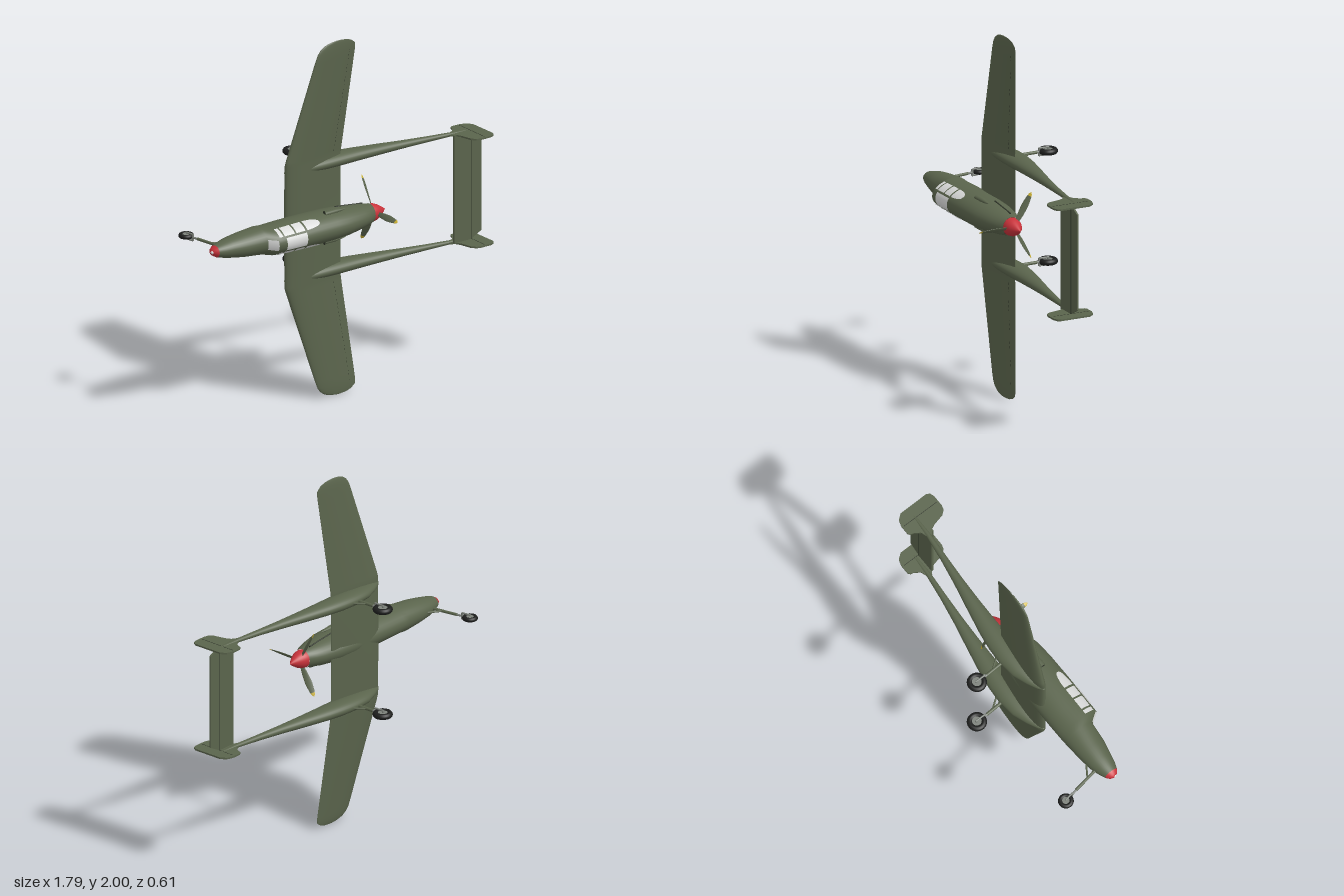
import * as THREE from 'three';

const mat = (name, color) => Object.assign(new THREE.MeshStandardMaterial({ color }), { name });
const M = {
  green: mat('oliveGreen', 0x5a644c), dark: mat('panelLine', 0x30362a), red: mat('red', 0xc8323a),
  glass: mat('paleGlass', 0xd9dad9), rubber: mat('rubber', 0x1d1e1d), steel: mat('steel', 0x7d827b),
  yellow: mat('yellow', 0xc9b032),
};
const V = (x, y, z) => new THREE.Vector3(x, y, z);

// Surface through fn(u, v); 'closed' wraps v smoothly
function surface(fn, us, vs, closed = false) {
  const pos = [], idx = [], n = vs.length;
  us.forEach(u => vs.forEach(v => pos.push(...fn(u, v))));
  for (let i = 0; i < us.length - 1; i++)
    for (let j = 0; j < (closed ? n : n - 1); j++) {
      const k = (j + 1) % n, a = i * n + j, b = a + n, c = (i + 1) * n + k, d = i * n + k;
      idx.push(a, b, d, b, c, d);
    }
  const g = new THREE.BufferGeometry();
  g.setAttribute('position', new THREE.Float32BufferAttribute(pos, 3));
  g.setIndex(idx);
  g.computeVertexNormals();
  return g;
}
const range = (a, b, n) => Array.from({ length: n + 1 }, (_, i) => a + (b - a) * i / n);
const ring = n => range(0, Math.PI * 2, n).slice(0, n);

// Linear look-up in rows sorted by their first number
function sample(rows, x) {
  let i = 0;
  while (i < rows.length - 2 && x > rows[i + 1][0]) i++;
  const a = rows[i], b = rows[i + 1];
  const t = THREE.MathUtils.clamp((x - a[0]) / (b[0] - a[0]), 0, 1);
  return a.map((v, k) => v + (b[k] - v) * t);
}
// Elliptical body along x: rows of [x, half width, z low, z high]
const body = (rows, cy, off = 0) => (x, a) => {
  const [, ry, z0, z1] = sample(rows, x);
  return [x, cy + (ry + off) * Math.sin(a), (z0 + z1) / 2 + ((z1 - z0) / 2 + off) * Math.cos(a)];
};
const bodyGeo = (rows, cy) => surface(body(rows, cy), rows.map(r => r[0]), ring(32), true);

const FUSELAGE = [
  [-0.895, 0.002, 0.053, 0.057], [-0.885, 0.02, 0.03, 0.08], [-0.865, 0.032, 0.015, 0.095],
  [-0.83, 0.042, 0, 0.108], [-0.78, 0.053, -0.015, 0.12], [-0.7, 0.065, -0.025, 0.138],
  [-0.585, 0.076, -0.032, 0.15], [-0.545, 0.078, -0.034, 0.208], [-0.45, 0.081, -0.035, 0.21],
  [-0.3, 0.084, -0.034, 0.211], [-0.15, 0.082, -0.03, 0.21], [-0.05, 0.077, -0.02, 0.203],
  [0.05, 0.066, 0, 0.18], [0.1, 0.058, 0.02, 0.163], [0.14, 0.052, 0.038, 0.142]];
const SPINNER = [[0.138, 0.05, 0.04, 0.14], [0.165, 0.047, 0.043, 0.137], [0.19, 0.036, 0.054, 0.126],
  [0.22, 0.017, 0.073, 0.107], [0.24, 0.001, 0.089, 0.091]];
const BOOM = [[-0.362, 0.002, -0.005, 0.003], [-0.34, 0.014, -0.025, 0.014], [-0.28, 0.026, -0.055, 0.024],
  [-0.2, 0.034, -0.085, 0.032], [-0.1, 0.038, -0.096, 0.037], [0, 0.038, -0.09, 0.038],
  [0.1, 0.035, -0.075, 0.037], [0.25, 0.029, -0.043, 0.039], [0.4, 0.022, -0.01, 0.045],
  [0.55, 0.016, 0.018, 0.055], [0.7, 0.011, 0.04, 0.067], [0.8, 0.007, 0.048, 0.068], [0.885, 0.001, 0.056, 0.06]];
// Half span, leading edge, trailing edge, z, half thickness
const WING = [[0, -0.36, 0.012, 0, 0.034], [0.34, -0.36, 0.012, 0.002, 0.032], [0.37, -0.352, 0.015, 0.003, 0.031],
  [0.9, -0.183, 0.078, 0.035, 0.014], [0.94, -0.168, 0.083, 0.037, 0.012], [0.965, -0.15, 0.08, 0.038, 0.01],
  [0.985, -0.12, 0.055, 0.039, 0.007], [0.996, -0.08, 0.02, 0.04, 0.004], [1, -0.04, -0.02, 0.04, 0.001]];
const wing = off => (s, t) => {
  const [, le, te, z, th] = sample(WING, Math.abs(s)), c = Math.cos(t);
  return [(le + te) / 2 + (te - le) / 2 * c, 1 + s, z + off + th * Math.sin(t) * (1 - 0.65 * c) / 1.2];
};

export function createModel() {
  const root = new THREE.Group();
  const add = (name, geo, m, parent = root) => {
    const mesh = new THREE.Mesh(geo, m);
    mesh.name = name;
    parent.add(mesh);
    return mesh;
  };
  const rod = (name, a, b, r, m, parent = root) => {
    const d = b.clone().sub(a);
    const mesh = add(name, new THREE.CylinderGeometry(r, r, d.length(), 12), m, parent);
    mesh.position.copy(a).addScaledVector(d, 0.5);
    mesh.quaternion.setFromUnitVectors(V(0, 1, 0), d.normalize());
  };
  const plate = (pts, depth) => new THREE.ExtrudeGeometry(
    new THREE.Shape(pts.map(p => new THREE.Vector2(...p))), { depth, bevelEnabled: false });

  // Central pod with red nose cap and pusher spinner
  add('noseCap', bodyGeo(FUSELAGE.slice(0, 3), 1), M.red);
  add('noseLamp', new THREE.SphereGeometry(0.009, 12, 8).translate(-0.889, 1, 0.062), M.glass);
  add('fuselage', bodyGeo(FUSELAGE.slice(2), 1), M.green);
  add('spinner', bodyGeo(SPINNER, 1), M.red);

  // Canopy panes laid on the pod; 'taper' rounds off the rear pane
  const pane = (name, x0, x1, a0, a1, taper = 0) => {
    const skin = body(FUSELAGE, 1, 0.003), mid = (a0 + a1) / 2;
    const fn = (x, f) => {
      const u = (x - x0) / (x1 - x0);
      const h = (a1 - a0) / 2 * (1 - taper * (1 - Math.sqrt(1 - u * u * 0.99)));
      return skin(x, THREE.MathUtils.degToRad(mid + h * f));
    };
    add(name, surface(fn, range(x0, x1, 8), range(-1, 1, 8)), M.glass);
  };
  pane('windshield', -0.584, -0.549, -21, 21);
  pane('roofPane', -0.5, -0.365, -25, 25);
  for (const s of [-1, 1]) {
    const side = (x0, x1, t) => pane('sidePane', x0, x1, s > 0 ? 32 : -66, s > 0 ? 66 : -32, t);
    side(-0.538, -0.515);
    side(-0.505, -0.438);
    side(-0.428, -0.368);
    side(-0.356, -0.26, 0.8);
    // Side scoops and exhaust slits
    add('sideScoop', bodyGeo([[-0.19, 0.012, 0.108, 0.142], [-0.12, 0.013, 0.11, 0.14],
      [-0.05, 0.002, 0.12, 0.13]], 1 + s * 0.079), M.green);
    add('scoopMouth', new THREE.CircleGeometry(0.012, 16).scale(1, 1.4, 1).rotateY(-Math.PI / 2)
      .translate(-0.191, 1 + s * 0.079, 0.125), M.dark);
    rod('exhaustSlit', V(-0.08, 1 + s * 0.08, 0.075), V(0.1, 1 + s * 0.059, 0.075), 0.004, M.dark);
  }

  // Wing in one piece with dashed aileron seams
  const spans = WING.map(r => r[0]);
  const stations = [...spans.slice(1).reverse().map(s => -s), ...spans];
  add('wing', surface(wing(0), stations, ring(40), true), M.green);
  for (const side of [-1, 1])
    for (let s = 0.37; s < 0.94; s += 0.024)
      add('aileronSeam', surface(wing(0.0015), range(side > 0 ? s : -s - 0.012, side > 0 ? s + 0.012 : -s, 1),
        [0.81, 0.83]), M.dark);

  // Propeller: three twisted blades with yellow tips
  const prop = new THREE.Group();
  prop.name = 'propeller';
  prop.position.set(0.165, 1, 0.09);
  root.add(prop);
  const CHORD = [[0.03, 0.009], [0.08, 0.016], [0.13, 0.019], [0.18, 0.014], [0.2, 0.009], [0.21, 0.001]];
  const bladeFn = (r, t) => {
    const w = sample(CHORD, r)[1], p = 1.1 - r * 2.5;
    const a = w * Math.cos(t), b = -w * 0.2 * Math.sin(t);
    return [a * Math.cos(p) - b * Math.sin(p), a * Math.sin(p) + b * Math.cos(p), r];
  };
  for (let i = 0; i < 3; i++) {
    const blade = new THREE.Group();
    blade.name = 'blade';
    blade.rotation.x = i * Math.PI * 2 / 3;
    prop.add(blade);
    add('bladeBody', surface(bladeFn, range(0.03, 0.188, 12), ring(16), true), M.green, blade);
    add('bladeTip', surface(bladeFn, [0.188, 0.2, 0.206, 0.21], ring(16), true), M.yellow, blade);
  }

  // Wheel with its axle along y
  const wheel = (parent, x, y, z, r) => {
    const tube = r * 0.3;
    add('tyre', new THREE.TorusGeometry(r - tube, tube, 14, 32).rotateX(Math.PI / 2).translate(x, y, z), M.rubber, parent);
    add('hub', new THREE.CylinderGeometry(r * 0.48, r * 0.48, tube * 1.3, 20).translate(x, y, z), M.steel, parent);
  };

  // Tail booms, fins and main gear, mirrored
  const FIN = [[0.69, 0.045], [0.735, 0.03], [0.757, 0], [0.762, -0.02], [0.775, -0.03], [0.83, -0.03], [0.865, -0.018],
    [0.888, 0.012], [0.89, 0.185], [0.88, 0.203], [0.855, 0.212], [0.79, 0.212], [0.765, 0.205], [0.745, 0.18],
    [0.73, 0.115], [0.715, 0.085], [0.69, 0.07]];
  for (const s of [-1, 1]) {
    const y = 1 + s * 0.305;
    add('tailBoom', bodyGeo(BOOM, y), M.green);
    add('fin', plate(FIN, 0.009).rotateX(Math.PI / 2).translate(0, y + 0.0045, 0), M.green);
    add('rudderSeam', new THREE.BoxGeometry(0.003, 0.0105, 0.22).translate(0.82, y, 0.092), M.dark);
    const gear = new THREE.Group();
    gear.name = 'mainGear';
    root.add(gear);
    rod('strut', V(-0.105, y, -0.08), V(-0.11, y, -0.19), 0.009, M.green, gear);
    rod('piston', V(-0.11, y, -0.18), V(-0.11, y, -0.215), 0.007, M.steel, gear);
    rod('brace', V(-0.06, y, -0.085), V(-0.108, y, -0.15), 0.005, M.green, gear);
    rod('axle', V(-0.11, y - 0.02, -0.26), V(-0.11, y + 0.02, -0.26), 0.007, M.steel, gear);
    for (const e of [-0.02, 0.02])
      rod('fork', V(-0.11, y + e, -0.205), V(-0.11, y + e, -0.262), 0.005, M.steel, gear);
    rod('forkBridge', V(-0.11, y - 0.022, -0.205), V(-0.11, y + 0.022, -0.205), 0.006, M.steel, gear);
    wheel(gear, -0.11, y, -0.257, 0.054);
  }

  // Tailplane between the fins
  add('tailplane', plate([[0.705, 0.695], [0.82, 0.695], [0.82, 1.305], [0.705, 1.305]], 0.014)
    .translate(0, 0, 0.077), M.green);
  add('elevator', plate([[0.82, 0.7], [0.887, 0.735], [0.887, 1.265], [0.82, 1.3]], 0.01)
    .translate(0, 0, 0.079), M.green);
  add('elevatorSeam', new THREE.BoxGeometry(0.004, 0.6, 0.0155).translate(0.82, 1, 0.084), M.dark);

  // Nose gear
  const nose = new THREE.Group();
  nose.name = 'noseGear';
  root.add(nose);
  rod('strut', V(-0.8, 1, 0), V(-0.825, 1, -0.15), 0.008, M.green, nose);
  rod('piston', V(-0.823, 1, -0.14), V(-0.832, 1, -0.182), 0.006, M.steel, nose);
  rod('brace', V(-0.74, 1, -0.015), V(-0.808, 1, -0.06), 0.005, M.green, nose);
  rod('forkBridge', V(-0.832, 0.982, -0.182), V(-0.832, 1.018, -0.182), 0.006, M.steel, nose);
  for (const e of [-0.017, 0.017])
    rod('fork', V(-0.832, 1 + e, -0.182), V(-0.84, 1 + e, -0.232), 0.005, M.steel, nose);
  wheel(nose, -0.84, 1, -0.23, 0.042);

  return root;
}
